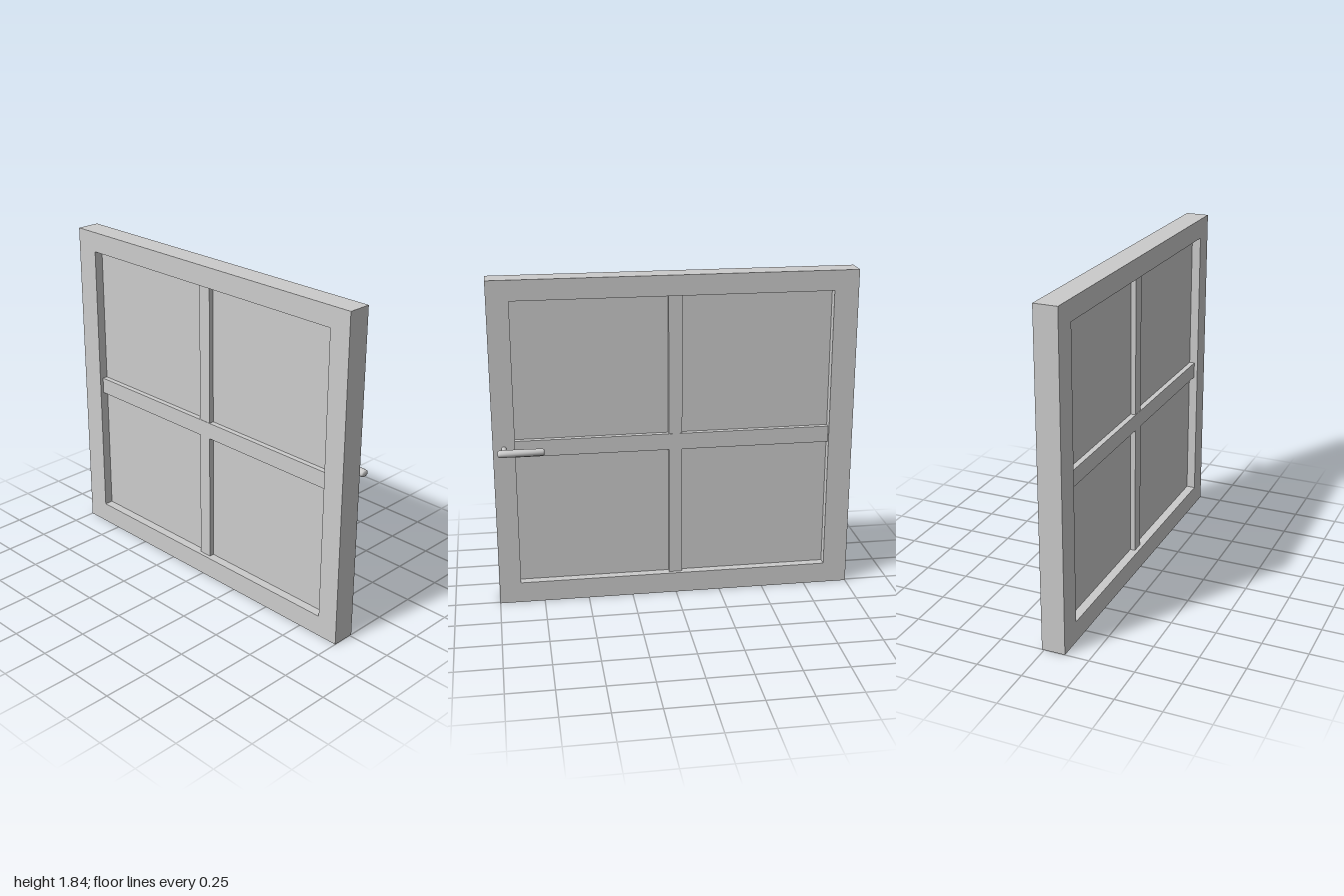
import * as THREE from 'three';

const material = new THREE.MeshStandardMaterial({ color: 0xcccccc });

function addMesh(parent, name, geometry) {
  const mesh = new THREE.Mesh(geometry, material);
  mesh.name = name;
  parent.add(mesh);
  return mesh;
}

// Box given by its limits on each axis
function addBox(parent, name, [x0, x1], [y0, y1], [z0, z1]) {
  const mesh = addMesh(parent, name, new THREE.BoxGeometry(x1 - x0, y1 - y0, z1 - z0));
  mesh.position.set((x0 + x1) / 2, (y0 + y1) / 2, (z0 + z1) / 2);
  return mesh;
}

function rectangle(PathType, x0, x1, y0, y1) {
  const path = new PathType();
  path.moveTo(x0, y0).lineTo(x1, y0).lineTo(x1, y1).lineTo(x0, y1).closePath();
  return path;
}

export function createModel() {
  const group = new THREE.Group();
  group.name = 'window';

  const back = -0.013, front = 0.117;
  const left = -0.865, right = 0.88, bottom = 0.118, top = 1.728;

  // Outer frame with one large opening
  const outline = rectangle(THREE.Shape, -1, 1, 0, 1.84);
  outline.holes.push(rectangle(THREE.Path, left, right, bottom, top));
  const frame = addMesh(group, 'frame',
    new THREE.ExtrudeGeometry(outline, { depth: front - back, bevelEnabled: false }));
  frame.position.z = back;

  // Pane and glazing bars, set back from both faces of the frame
  addBox(group, 'pane', [left, right], [bottom, top], [0.037, 0.067]);
  addBox(group, 'crossBar', [left, right], [0.86, 0.952], [0.007, 0.097]);
  for (const [name, y0, y1] of [['lowerMullion', bottom, 0.86], ['upperMullion', 0.952, top]]) {
    addBox(group, name, [-0.037, 0.037], [y0, y1], [0.009, 0.095]);
  }

  // Handle on the back face
  const handle = new THREE.Group();
  handle.name = 'handle';
  handle.position.set(0.94, 0.918, 0);
  group.add(handle);

  const spindle = addMesh(handle, 'handleSpindle',
    new THREE.CylinderGeometry(0.014, 0.014, 0.07, 20));
  spindle.rotation.x = Math.PI / 2;
  spindle.position.z = -0.045;

  // Tapered oval grip: a lathe along x, its depth shrinking toward the free end
  const profile = [[0, 0], [0.012, 0.001], [0.017, 0.004], [0.019, 0.011], [0.02, 0.06],
    [0.02, 0.2], [0.0195, 0.235], [0.017, 0.246], [0.012, 0.25], [0, 0.251]]
    .map(([r, t]) => new THREE.Vector2(r, t));
  const gripGeometry = new THREE.LatheGeometry(profile, 24);
  gripGeometry.rotateZ(-Math.PI / 2);
  const p = gripGeometry.attributes.position;
  for (let i = 0; i < p.count; i++) {
    p.setZ(i, p.getZ(i) * THREE.MathUtils.lerp(0.85, 1.4, p.getX(i) / 0.251));
  }
  gripGeometry.computeVertexNormals();
  const grip = addMesh(handle, 'handleGrip', gripGeometry);
  grip.position.set(-0.215, 0, -0.09);

  return group;
}
